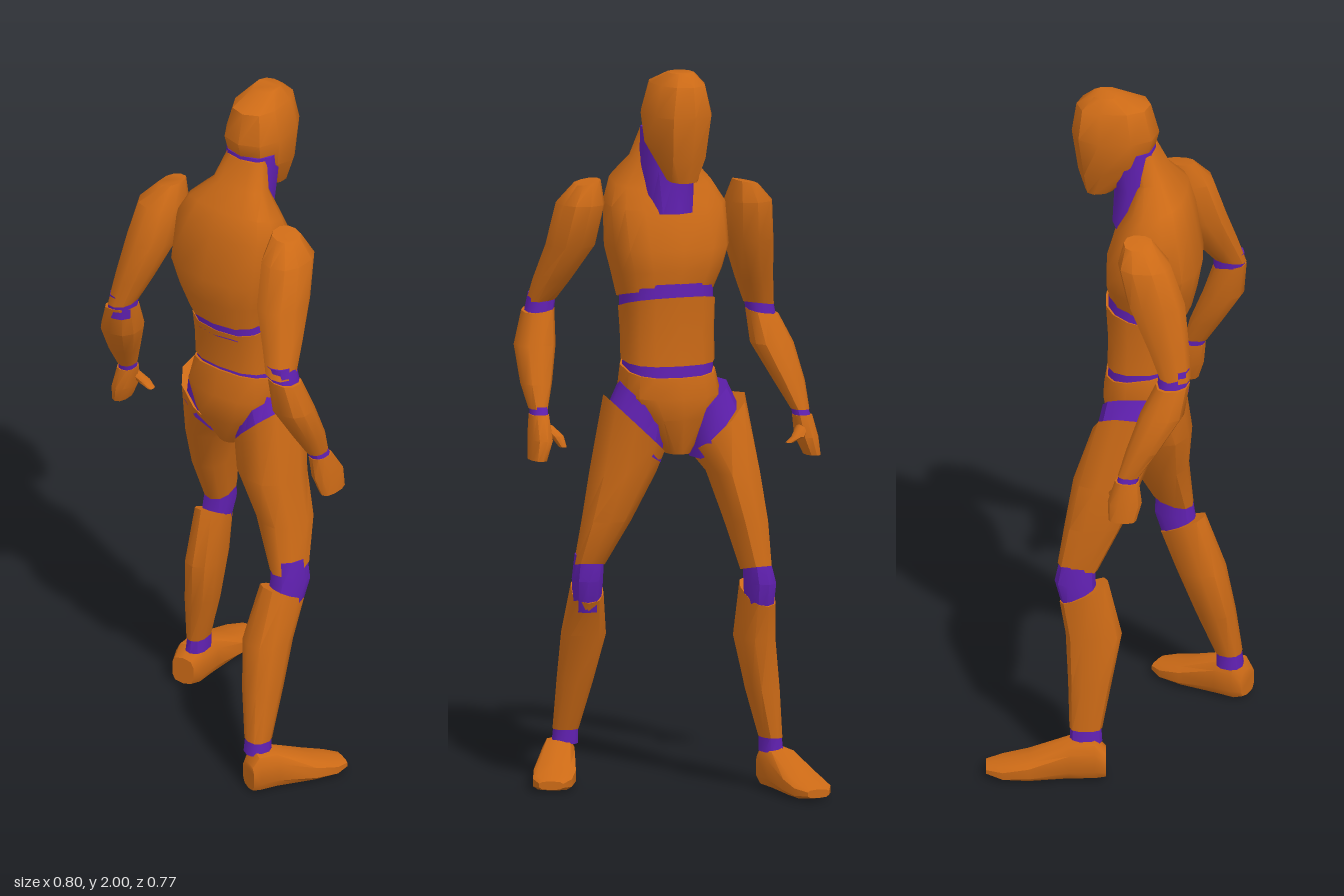
import * as THREE from 'three';
import { toCreasedNormals } from 'three/addons/utils/BufferGeometryUtils.js';

const shell = new THREE.MeshStandardMaterial({ color: 0xcc6a16 });
const joint = new THREE.MeshStandardMaterial({ color: 0x6020b0 });

// Skins a closed tube over rounded cross-sections.
// ring = [x, y, z, halfWidth, halfDepth, forwardSlope, sideSlope]; upright rings lie flat,
// otherwise they stand up (halfDepth becomes half height). yaw turns the section.
function loft(name, material, rings, { yaw = 0, upright = true, square = 0.85, n = 10 } = {}) {
  const u = new THREE.Vector3(Math.cos(yaw), 0, Math.sin(yaw));
  const v = upright ? new THREE.Vector3(Math.sin(yaw), 0, -Math.cos(yaw)) : new THREE.Vector3(0, 1, 0);
  const centre = r => new THREE.Vector3(r[0], r[1], r[2]);
  const along = centre(rings[rings.length - 1]).sub(centre(rings[0]));
  const list = u.clone().cross(v).dot(along) < 0 ? [...rings].reverse() : rings;
  const round = t => Math.sign(t) * Math.abs(t) ** square;
  const pos = [], index = [];
  for (const r of list) {
    for (let i = 0; i < n; i++) {
      const a = (i + 0.5) / n * Math.PI * 2;
      const s = round(Math.cos(a)) * r[3], t = round(Math.sin(a)) * r[4];
      const p = centre(r).addScaledVector(u, s).addScaledVector(v, t);
      p.y += (r[5] || 0) * t + (r[6] || 0) * s;
      pos.push(p.x, p.y, p.z);
    }
  }
  for (let k = 0; k < list.length - 1; k++) {
    for (let i = 0; i < n; i++) {
      const a = k * n + i, b = k * n + (i + 1) % n;
      index.push(a, b, b + n, a, b + n, a + n);
    }
  }
  // end caps
  const last = (list.length - 1) * n;
  for (let i = 1; i < n - 1; i++) index.push(0, i + 1, i, last, last + i, last + i + 1);
  const g = new THREE.BufferGeometry();
  g.setAttribute('position', new THREE.Float32BufferAttribute(pos, 3));
  g.setIndex(index);
  const mesh = new THREE.Mesh(toCreasedNormals(g, 0.75), material);
  mesh.name = name;
  return mesh;
}

// Each limb is posed separately, listed from the body outwards.
const legs = {
  right: {
    yaw: 0.1, footYaw: 0.1,
    hip: [[-0.06, 1.08, 0.03, 0.06, 0.085, 0, -0.8], [-0.09, 0.97, 0.005, 0.07, 0.09, 0, -0.8]],
    thigh: [[-0.09, 1.015, 0.01, 0.075, 0.095, 0.1, -1], [-0.11, 0.88, -0.045, 0.068, 0.095],
      [-0.125, 0.75, -0.085, 0.055, 0.08], [-0.13, 0.62, -0.13, 0.038, 0.055, 0.2]],
    knee: [[-0.13, 0.65, -0.13, 0.034, 0.048], [-0.137, 0.58, -0.138, 0.041, 0.056], [-0.145, 0.49, -0.12, 0.034, 0.05]],
    calf: [[-0.145, 0.55, -0.115, 0.042, 0.066, -0.5], [-0.152, 0.42, -0.088, 0.05, 0.077],
      [-0.17, 0.28, -0.1, 0.044, 0.06], [-0.188, 0.145, -0.113, 0.028, 0.045]],
    ankle: [[-0.188, 0.15, -0.113, 0.026, 0.042], [-0.19, 0.105, -0.113, 0.03, 0.045]],
    foot: [[-0.212, 0.05, -0.06, 0.035, 0.04], [-0.205, 0.062, -0.09, 0.045, 0.058], [-0.197, 0.06, -0.16, 0.048, 0.056],
      [-0.187, 0.036, -0.27, 0.06, 0.033], [-0.175, 0.026, -0.34, 0.058, 0.022], [-0.165, 0.024, -0.385, 0.034, 0.012]],
  },
  left: {
    yaw: 0.5, footYaw: 0.65,
    hip: [[0.1, 1.08, 0.085, 0.065, 0.085, 0, 0.8], [0.128, 0.97, 0.095, 0.08, 0.09, 0, 0.8]],
    thigh: [[0.125, 1.015, 0.09, 0.085, 0.095, 0.1, 0.95], [0.145, 0.88, 0.115, 0.092, 0.092],
      [0.19, 0.75, 0.127, 0.068, 0.078], [0.222, 0.62, 0.165, 0.043, 0.056, 0.2]],
    knee: [[0.222, 0.65, 0.165, 0.04, 0.05], [0.226, 0.58, 0.168, 0.043, 0.057], [0.215, 0.49, 0.19, 0.038, 0.05]],
    calf: [[0.212, 0.55, 0.19, 0.045, 0.064, -0.5], [0.192, 0.42, 0.238, 0.062, 0.068],
      [0.195, 0.28, 0.278, 0.05, 0.055], [0.2, 0.145, 0.315, 0.036, 0.036]],
    ankle: [[0.2, 0.15, 0.315, 0.034, 0.034], [0.2, 0.105, 0.318, 0.037, 0.037]],
    foot: [[0.195, 0.05, 0.365, 0.035, 0.04], [0.203, 0.062, 0.345, 0.045, 0.058], [0.235, 0.06, 0.3, 0.048, 0.056],
      [0.302, 0.036, 0.215, 0.06, 0.033], [0.343, 0.026, 0.165, 0.055, 0.022], [0.367, 0.024, 0.135, 0.034, 0.012]],
  },
};

const arms = {
  right: {
    yaw: 0.2,
    upperArm: [[-0.2, 1.665, 0.03, 0.034, 0.04, 0, 0.2], [-0.22, 1.61, 0.045, 0.063, 0.073], [-0.24, 1.5, 0.075, 0.066, 0.08],
      [-0.28, 1.38, 0.105, 0.05, 0.058], [-0.305, 1.305, 0.12, 0.04, 0.045, 0.1, 0.15]],
    elbow: [[-0.302, 1.33, 0.12, 0.037, 0.042], [-0.312, 1.26, 0.115, 0.04, 0.044]],
    forearm: [[-0.312, 1.285, 0.115, 0.044, 0.047, -0.1, 0.15], [-0.325, 1.2, 0.085, 0.058, 0.06],
      [-0.345, 1.1, 0.03, 0.042, 0.045], [-0.355, 1.025, -0.01, 0.024, 0.03]],
    wrist: [[-0.354, 1.035, -0.006, 0.022, 0.027], [-0.358, 0.995, -0.018, 0.024, 0.03]],
    hand: [[-0.358, 1.01, -0.015, 0.026, 0.033], [-0.367, 0.95, -0.022, 0.03, 0.047], [-0.38, 0.9, -0.03, 0.021, 0.038]],
    thumb: [[-0.35, 0.985, -0.03, 0.016, 0.018], [-0.325, 0.955, -0.045, 0.018, 0.018], [-0.3, 0.94, -0.04, 0.01, 0.012]],
  },
  left: {
    yaw: 0.2,
    upperArm: [[0.22, 1.68, 0.18, 0.036, 0.042, 0, -0.2], [0.232, 1.62, 0.195, 0.063, 0.08], [0.238, 1.5, 0.235, 0.064, 0.08],
      [0.262, 1.4, 0.29, 0.05, 0.058], [0.275, 1.335, 0.325, 0.04, 0.045, 0.1, -0.15]],
    elbow: [[0.273, 1.36, 0.322, 0.037, 0.042], [0.286, 1.29, 0.323, 0.04, 0.044]],
    forearm: [[0.285, 1.315, 0.325, 0.044, 0.046, -0.1, -0.15], [0.305, 1.22, 0.31, 0.056, 0.056],
      [0.33, 1.12, 0.265, 0.042, 0.045], [0.342, 1.055, 0.237, 0.025, 0.033]],
    wrist: [[0.341, 1.065, 0.237, 0.023, 0.03], [0.347, 1.025, 0.225, 0.025, 0.033]],
    hand: [[0.346, 1.04, 0.228, 0.026, 0.036], [0.357, 0.975, 0.205, 0.03, 0.055], [0.37, 0.92, 0.2, 0.021, 0.046]],
    thumb: [[0.335, 1.01, 0.205, 0.016, 0.018], [0.322, 0.985, 0.175, 0.018, 0.018], [0.312, 0.955, 0.16, 0.01, 0.012]],
  },
};

const purpleParts = ['hip', 'knee', 'ankle', 'elbow', 'wrist'];

function buildLimb(name, { yaw, footYaw, ...parts }) {
  const limb = new THREE.Group();
  limb.name = name;
  for (const [part, rings] of Object.entries(parts)) {
    const material = purpleParts.includes(part) ? joint : shell;
    const options = part === 'foot' ? { yaw: footYaw, upright: false, square: 0.65 } : { yaw };
    limb.add(loft(part, material, rings, options));
  }
  return limb;
}

export function createModel() {
  const figure = new THREE.Group();
  figure.name = 'jointedFigure';

  // head and neck
  figure.add(loft('head', shell, [
    [0.055, 1.998, -0.035, 0.035, 0.04], [0.053, 1.965, -0.015, 0.068, 0.102], [0.053, 1.88, -0.01, 0.09, 0.12],
    [0.055, 1.79, -0.008, 0.078, 0.104, -0.3], [0.06, 1.7, -0.052, 0.042, 0.04, -0.1],
  ], { yaw: 0.12 }));
  figure.add(loft('neck', joint, [
    [0.05, 1.84, 0.035, 0.076, 0.065], [0.045, 1.72, 0.05, 0.074, 0.063], [0.035, 1.6, 0.06, 0.07, 0.08],
  ], { yaw: 0.15 }));

  // torso
  const torso = { yaw: 0.22, square: 0.75, n: 14 };
  figure.add(loft('chest', shell, [
    [0.047, 1.83, 0.07, 0.062, 0.032], [0.04, 1.75, 0.092, 0.085, 0.045, -0.2], [0.03, 1.685, 0.105, 0.142, 0.08, -0.25],
    [0.02, 1.62, 0.1, 0.17, 0.105, -0.1], [0.015, 1.5, 0.095, 0.17, 0.132],
    [0.02, 1.43, 0.088, 0.15, 0.125, 0.1], [0.028, 1.37, 0.085, 0.13, 0.112, 0.2],
  ], torso));
  figure.add(loft('ribJoint', joint, [
    [0.028, 1.4, 0.078, 0.127, 0.107, 0.2], [0.03, 1.32, 0.073, 0.127, 0.106, 0.2],
  ], torso));
  figure.add(loft('abdomen', shell, [
    [0.03, 1.345, 0.072, 0.131, 0.11, 0.25], [0.03, 1.27, 0.07, 0.128, 0.102, 0.1], [0.03, 1.188, 0.067, 0.128, 0.1, -0.08],
  ], torso));
  figure.add(loft('waistJoint', joint, [
    [0.03, 1.21, 0.067, 0.122, 0.096], [0.03, 1.14, 0.067, 0.124, 0.1, -0.15],
  ], torso));
  figure.add(loft('pelvis', shell, [
    [0.03, 1.168, 0.068, 0.129, 0.104, -0.2], [0.025, 1.1, 0.07, 0.14, 0.115, -0.1],
    [0.02, 1.03, 0.07, 0.105, 0.108], [0.012, 0.93, 0.058, 0.034, 0.06],
  ], torso));

  // limbs
  for (const side of ['left', 'right']) {
    figure.add(buildLimb(side + 'Leg', legs[side]));
    figure.add(buildLimb(side + 'Arm', arms[side]));
  }
  return figure;
}
